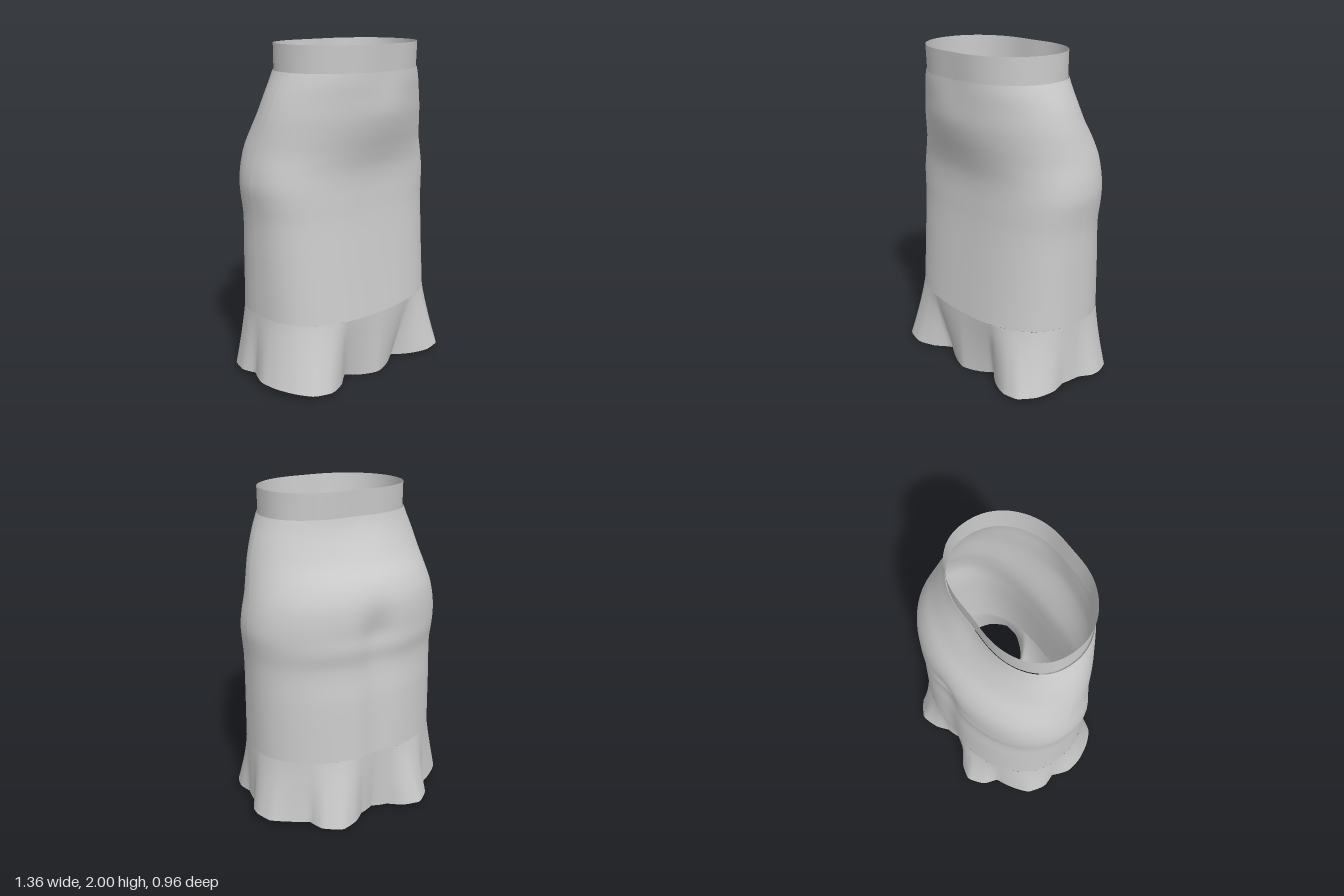
import * as THREE from 'three';

// Skirt profile, bottom to top: height, half width, front z, back z, z of the side seam,
// squareness of the front and back halves of the cross-section
const PROFILE = [
  [0.40, 0.617, 0.45, -0.419, 0.02, 2.75, 2.07],
  [0.80, 0.617, 0.41, -0.407, 0.02, 2.75, 2.05],
  [1.02, 0.62, 0.39, -0.391, 0.02, 2.72, 2.05],
  [1.12, 0.63, 0.385, -0.405, 0.02, 2.68, 2.05],
  [1.20, 0.638, 0.382, -0.402, 0.02, 2.6, 2.05],
  [1.30, 0.629, 0.388, -0.402, 0.025, 2.42, 2.05],
  [1.40, 0.608, 0.412, -0.39, 0.035, 2.2, 2.05],
  [1.50, 0.585, 0.442, -0.35, 0.07, 2.02, 2.05],
  [1.60, 0.561, 0.465, -0.282, 0.10, 1.93, 2.1],
  [1.72, 0.523, 0.475, -0.222, 0.12, 1.95, 2.2],
  [1.80, 0.488, 0.479, -0.193, 0.13, 2.05, 2.3],
  [1.85, 0.465, 0.479, -0.182, 0.13, 2.1, 2.35],
];

// Ruffle hem seen from above (x, z), from front centre round the left side
const HEM = [
  [0, 0.44], [0.1, 0.41], [0.2, 0.35], [0.28, 0.42], [0.41, 0.475], [0.52, 0.46], [0.6, 0.37],
  [0.63, 0.26], [0.61, 0.17], [0.63, 0.05], [0.675, -0.03], [0.678, -0.09], [0.64, -0.19],
  [0.55, -0.25], [0.43, -0.32], [0.4, -0.41], [0.29, -0.483], [0.17, -0.445], [0.1, -0.388],
  [0, -0.352], [-0.1, -0.388], [-0.18, -0.455], [-0.29, -0.485], [-0.39, -0.41], [-0.42, -0.32],
  [-0.54, -0.26], [-0.63, -0.19], [-0.665, -0.07], [-0.635, 0.02], [-0.68, 0.14], [-0.66, 0.25],
  [-0.6, 0.37], [-0.53, 0.45], [-0.41, 0.478], [-0.28, 0.42], [-0.21, 0.345], [-0.1, 0.41],
];

const TAU = Math.PI * 2;
const SEAM_Z = 0.02;
const { lerp, smoothstep } = THREE.MathUtils;
const material = new THREE.MeshStandardMaterial({ color: 0xcccccc, side: THREE.DoubleSide });
const bump = (d, width) => Math.exp(-((d / width) ** 2));

const profileAt = new THREE.CubicInterpolant(
  PROFILE.map((p) => p[0]), PROFILE.flatMap((p) => p.slice(1)), 6);

// Rounded cross-section in polar form; angle 0 faces front, PI/2 faces left.
// dent flattens the waist at the centre front and back
function ring(a, [halfWidth, front, back, mid, nFront, nBack], dent) {
  const s = Math.sin(a), c = Math.cos(a);
  const depth = c > 0 ? front - mid : mid - back;
  const n = c > 0 ? nFront : nBack;
  const r = (Math.abs(s / halfWidth) ** n + Math.abs(c / depth) ** n) ** (-1 / n);
  const x = r * s;
  return [x, mid + r * c - Math.sign(c) * dent * bump(x, 0.15)];
}

// Body surface with the hollow and the channel below it at the centre back
function bodyPoint(a, y) {
  let [x, z] = ring(a, profileAt.evaluate(y), 0.016 * smoothstep(y, 1.6, 1.85));
  if (Math.cos(a) < 0) {
    const channel = 0.03 * (1 - smoothstep(y, 1.15, 1.5));
    z += bump(x, 0.11) * (channel + 0.012 * bump(y - 1.2, 0.11));
  }
  return new THREE.Vector3(x, y, z);
}

// Height of the seam between body and ruffle, dipping at the front
const seamY = (a) => 0.43 - 0.025 * Math.max(Math.cos(a), 0) ** 2;

// Hem radius by angle
const hemPolar = HEM.map(([x, z]) => ({
  a: (Math.atan2(x, z - SEAM_Z) + TAU) % TAU,
  r: Math.hypot(x, z - SEAM_Z),
}));
hemPolar.push({ a: TAU, r: hemPolar[0].r });
const hemAt = new THREE.LinearInterpolant(
  hemPolar.map((p) => p.a), hemPolar.map((p) => p.r), 1);

// Ruffle surface, t = 0 at the joining seam, 1 at the hem
function rufflePoint(a, t) {
  const top = bodyPoint(a, seamY(a));
  const r = hemAt.evaluate(Math.min(a, TAU - 1e-6))[0];
  const c = Math.cos(a);
  const hemY = 0.05 - (c > 0 ? 0.05 * c * c : -0.035 * c);
  const k = t ** 1.15;
  return new THREE.Vector3(
    lerp(top.x, r * Math.sin(a), k), lerp(top.y, hemY, t), lerp(top.z, SEAM_Z + r * c, k));
}

// Sheet of quads: point(angle, v) with v rising from bottom to top
function sheet(name, point, a0, a1, cols, rows) {
  const pos = [], index = [];
  for (let j = 0; j <= rows; j++) {
    for (let i = 0; i <= cols; i++) {
      pos.push(...point(a0 + ((a1 - a0) * i) / cols, j / rows).toArray());
      if (i < cols && j < rows) {
        const p = j * (cols + 1) + i, q = p + cols + 1;
        index.push(p, p + 1, q + 1, p, q + 1, q);
      }
    }
  }
  const geometry = new THREE.BufferGeometry();
  geometry.setAttribute('position', new THREE.Float32BufferAttribute(pos, 3));
  geometry.setIndex(index);
  geometry.computeVertexNormals();
  // Closed sheets share their normals where the ends meet
  if (Math.abs(a1 - a0 - TAU) < 1e-6) {
    const nor = geometry.attributes.normal;
    for (let j = 0; j <= rows; j++) {
      const p = j * (cols + 1), q = p + cols;
      const n = new THREE.Vector3().fromBufferAttribute(nor, p)
        .add(new THREE.Vector3().fromBufferAttribute(nor, q)).normalize();
      nor.setXYZ(p, n.x, n.y, n.z);
      nor.setXYZ(q, n.x, n.y, n.z);
    }
  }
  const mesh = new THREE.Mesh(geometry, material);
  mesh.name = name;
  return mesh;
}

export function createModel() {
  const skirt = new THREE.Group();
  skirt.name = 'skirt';
  const H = Math.PI / 2;

  // Front and back panels meet at the side seams
  const body = (a, v) => bodyPoint(a, lerp(seamY(a), 1.85, v));
  skirt.add(sheet('frontPanel', body, -H, H, 48, 48));
  skirt.add(sheet('backPanel', body, H, 3 * H, 48, 48));

  // Flared ruffle
  skirt.add(sheet('ruffle', (a, v) => rufflePoint(a, 1 - v), 0, TAU, 160, 10));

  // Waistband, slightly inside the top edge of the panels
  const band = (a, v) => {
    const section = [0.457 - 0.002 * v, 0.476 + 0.01 * v, -0.178 - 0.008 * v, 0.13, 2.1, 2.35];
    const [x, z] = ring(a, section, 0.016);
    return new THREE.Vector3(x, 1.845 + 0.155 * v, z);
  };
  skirt.add(sheet('waistband', band, 0, TAU, 96, 4));
  return skirt;
}
